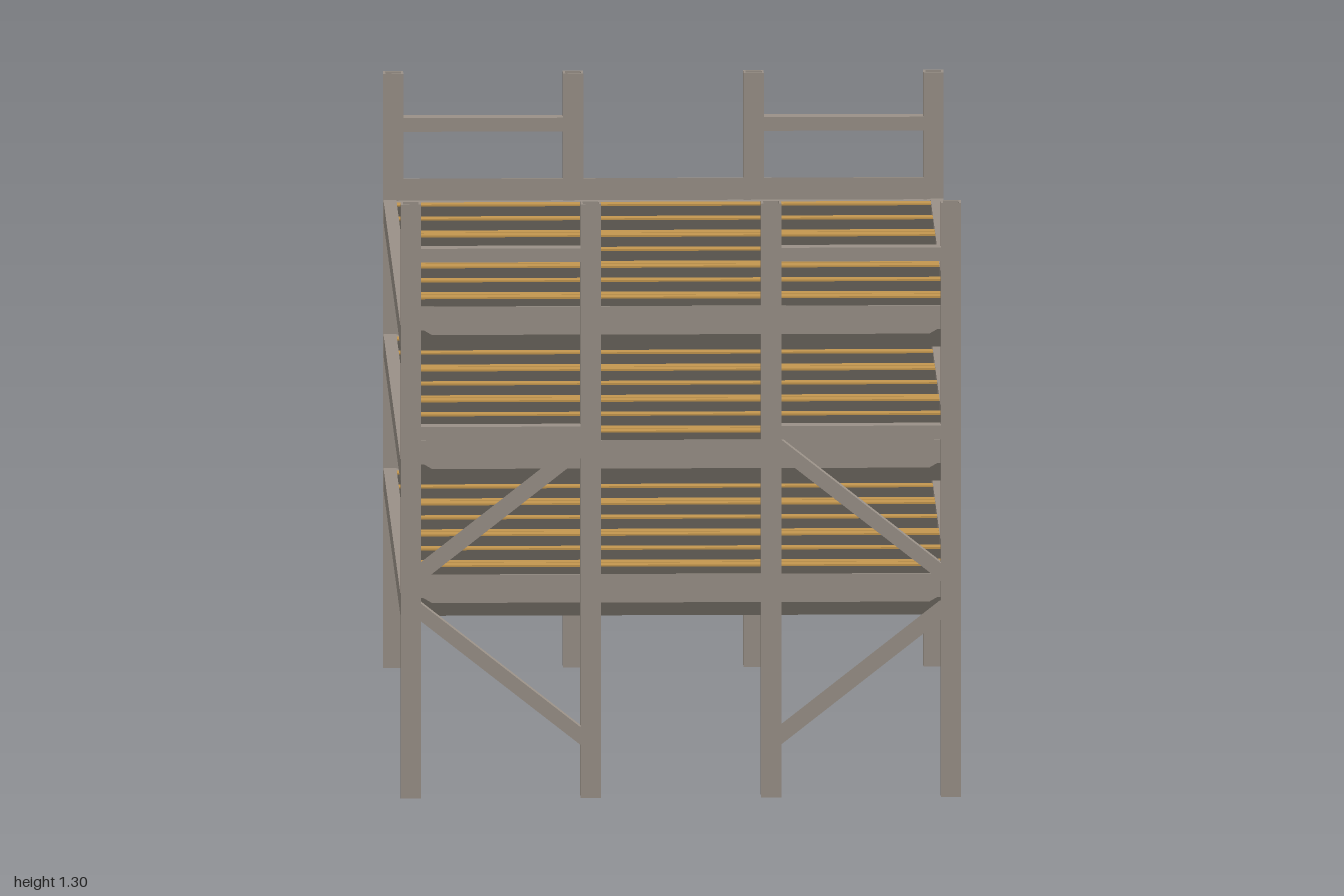
import * as THREE from 'three';

export function createModel() {
  const root = new THREE.Group();
  const mat = (name, color) => {
    const m = new THREE.MeshStandardMaterial({ color });
    m.name = name;
    return m;
  };
  const steel = mat('steel grey', 0x999087);
  const dark = mat('dark steel', 0x666159);
  const wood = mat('slat brown', 0xc3964e);

  const add = (parent, name, geo, material, x = 0, y = 0, z = 0) => {
    const mesh = new THREE.Mesh(geo, material);
    mesh.name = name;
    mesh.position.set(x, y, z);
    parent.add(mesh);
    return mesh;
  };
  const box = (parent, name, w, h, d, x, y, z, material = steel) =>
    add(parent, name, new THREE.BoxGeometry(w, h, d), material, x, y, z);
  const poly = (pts) => new THREE.Shape(pts.map(([x, y]) => new THREE.Vector2(x, y)));
  const plate = (pts, depth) =>
    new THREE.ExtrudeGeometry(poly(pts), { depth, bevelEnabled: false });
  const rect = (a, b) => [[-a, -b], [a, -b], [a, b], [-a, b]];

  // Tube with open ends used for every post
  const tube = poly(rect(0.022, 0.023));
  tube.holes.push(poly(rect(0.017, 0.018).reverse()));
  const postGeo = new THREE.ExtrudeGeometry(tube, { depth: 1.303, bevelEnabled: false });
  postGeo.rotateX(-Math.PI / 2);
  const postZ = 0.977;

  // End frames: pairs of posts with rungs and diagonal braces
  for (const sz of [1, -1]) {
    for (const sx of [1, -1]) {
      const frame = new THREE.Group();
      frame.name = (sz > 0 ? 'front' : 'back') + (sx > 0 ? 'Left' : 'Right') + 'Frame';
      root.add(frame);
      for (const x of [0.5865, 0.196]) {
        add(frame, 'post', postGeo, steel, sx * x, 0, sz * postZ);
        // Web closing the tube inside
        box(frame, 'postWeb', 0.035, 0.004, 0.037, sx * x, 0.65, sz * postZ);
      }
      for (const y of [1.191, 0.8])
        box(frame, 'rung', 0.348, 0.03, 0.044, sx * 0.3915, y, sz * postZ);
      const upper = [[0.566, 0.472], [0.566, 0.511], [0.217, 0.785], [0.217, 0.746]];
      for (const pts of [upper, upper.map(([x, y]) => [x, 0.9 - y])])
        add(frame, 'brace', plate(pts.map(([x, y]) => [sx * x, y]), 0.036),
          steel, 0, 0, sz * postZ - 0.018);
    }
  }

  // Slat rows: four sections of three slats
  const slatZ = [];
  for (let p = 0; p < 4; p++)
    for (let i = 0; i < 3; i++) slatZ.push(-0.904 + p * 0.4617 + i * 0.21);

  // Three shelf levels
  for (const b of [0.395, 0.689, 0.983]) {
    const level = new THREE.Group();
    level.name = 'shelfLevel';
    root.add(level);
    // Long side rails
    for (const sx of [1, -1])
      box(level, 'sideRail', 0.028, 0.048, 1.914, sx * 0.594, b + 0.02, 0);
    // End angle beams with upright leg and inward flange
    const leg = plate([[-0.54, b + 0.028], [0.54, b + 0.028], [0.566, b + 0.043],
      [0.58, b + 0.043], [0.58, b + 0.09], [-0.58, b + 0.09], [-0.58, b + 0.043],
      [-0.566, b + 0.043]], 0.004);
    for (const sz of [1, -1]) {
      add(level, 'endBeamLeg', leg, steel, 0, 0, sz * 0.957 - 0.002);
      box(level, 'endBeamFlange', 1.16, 0.004, 0.031, 0, b + 0.04, sz * 0.9405);
    }
    // Cross slats with brown top faces
    for (const z of slatZ) {
      box(level, 'slat', 1.162, 0.045, 0.036, 0, b + 0.0165, z, dark);
      box(level, 'slatTop', 1.16, 0.004, 0.036, 0, b + 0.041, z, wood);
    }
  }
  return root;
}
